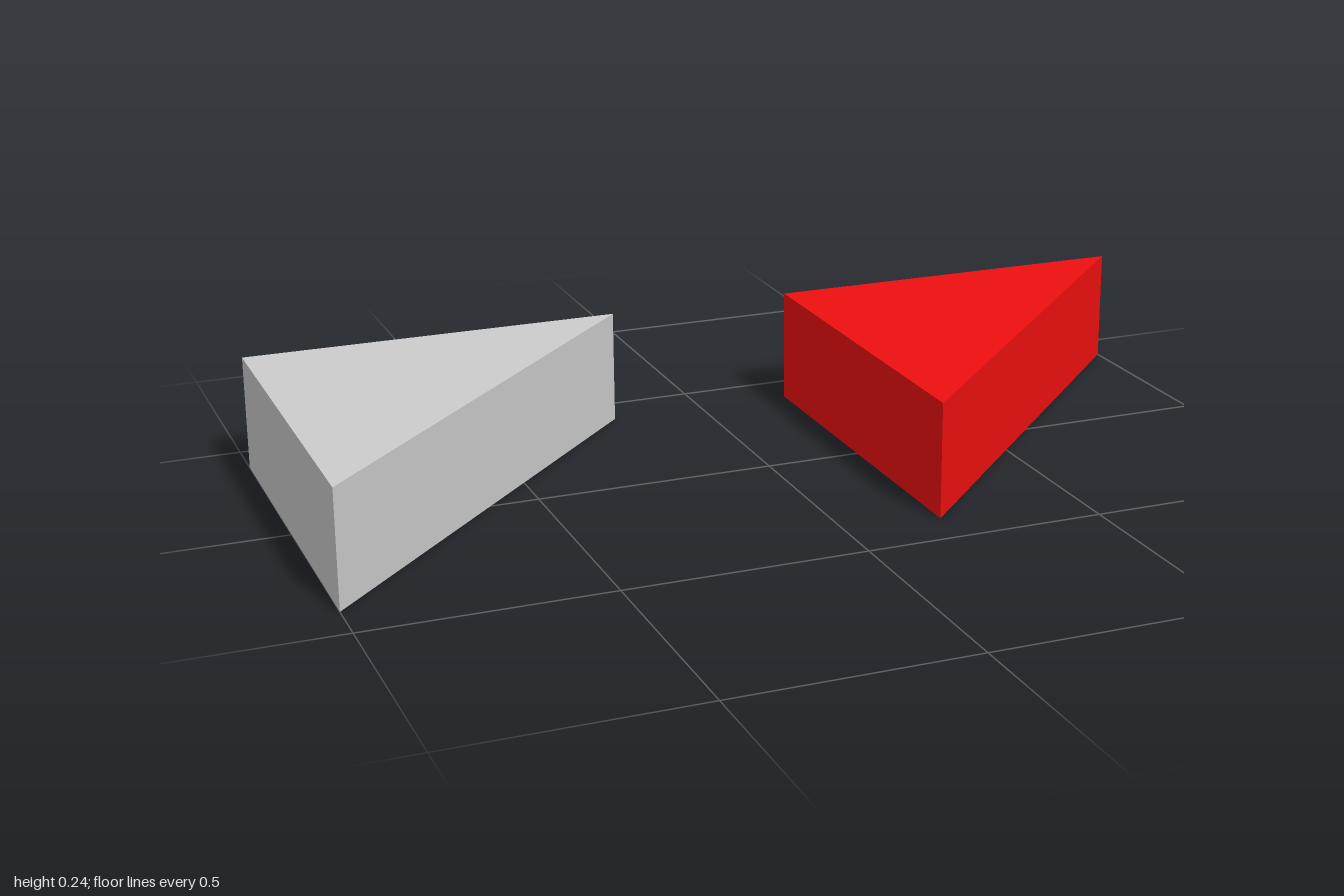
import * as THREE from 'three';

const SIDE = 0.8;
const HEIGHT = 0.24;

// Right-angled triangular prism lying flat, square corner at the back right
function wedgeGeometry() {
  const h = SIDE / 2;
  const shape = new THREE.Shape([
    new THREE.Vector2(-h, -h),
    new THREE.Vector2(h, h),
    new THREE.Vector2(-h, h),
  ]);
  const geometry = new THREE.ExtrudeGeometry(shape, { depth: HEIGHT, bevelEnabled: false });
  return geometry.rotateX(-Math.PI / 2);
}

export function createModel() {
  const model = new THREE.Group();
  model.name = 'triangularBlocks';
  const geometry = wedgeGeometry();

  // Two identical blocks side by side
  const blocks = [
    { name: 'greyBlock', x: -0.6, color: 0xcccccc },
    { name: 'redBlock', x: 0.6, color: 0xee1010 },
  ];
  for (const { name, x, color } of blocks) {
    const block = new THREE.Mesh(geometry, new THREE.MeshStandardMaterial({ color }));
    block.name = name;
    block.position.x = x;
    model.add(block);
  }
  return model;
}
